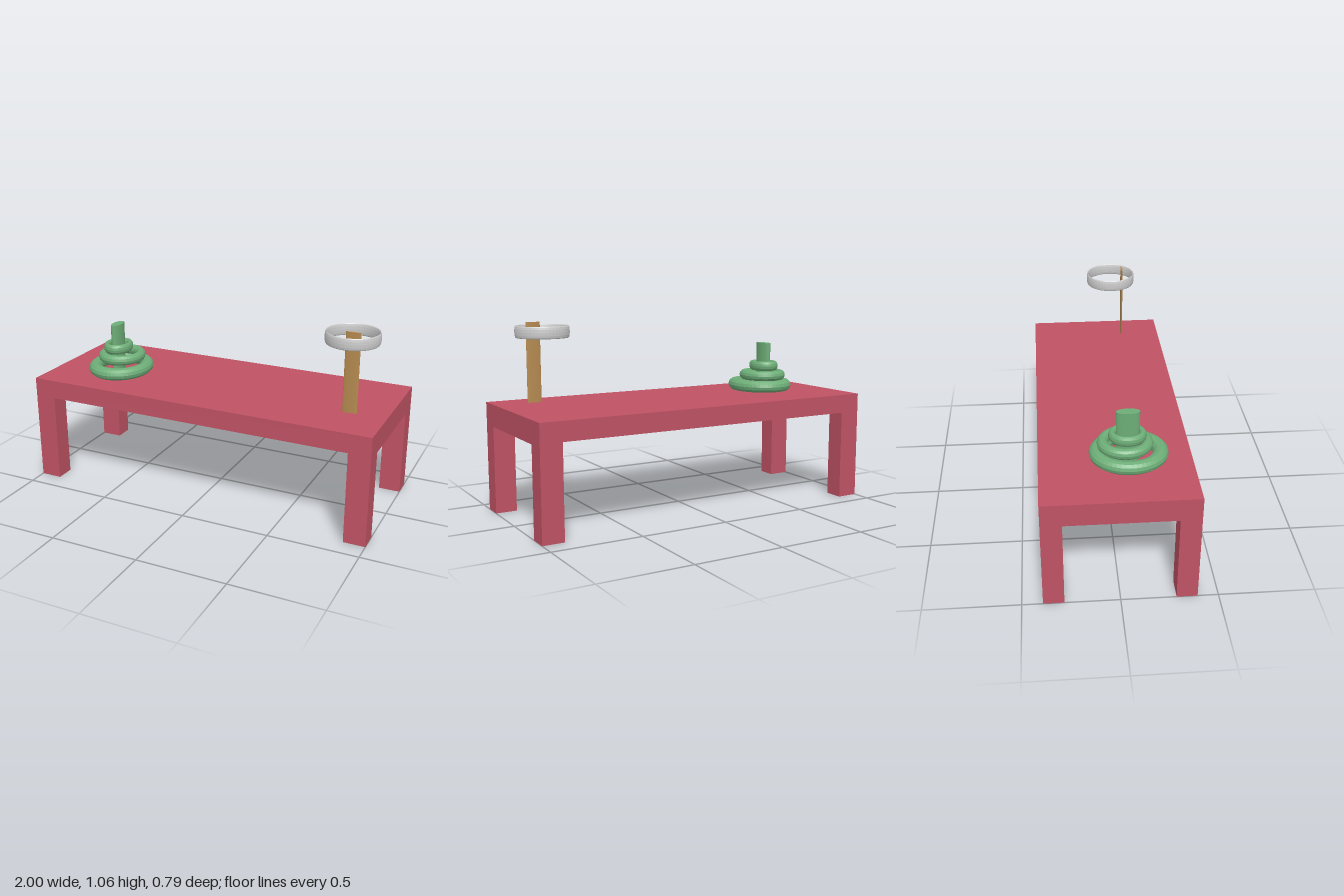
import * as THREE from 'three';

const material = (color, flatShading = false) => new THREE.MeshStandardMaterial({ color, flatShading });

export function createModel() {
  const model = new THREE.Group();
  const red = material(0xbf5264);
  const green = material(0x6dad77, true);
  const wood = material(0xb58a50);
  const grey = material(0xcccccc, true);

  const add = (parent, name, geometry, mat, x, y, z) => {
    const mesh = new THREE.Mesh(geometry, mat);
    mesh.name = name;
    mesh.position.set(x, y, z);
    parent.add(mesh);
    return mesh;
  };

  // Box given by its lower and upper corner
  const box = (parent, name, [x0, y0, z0], [x1, y1, z1]) =>
    add(parent, name, new THREE.BoxGeometry(x1 - x0, y1 - y0, z1 - z0), red,
      (x0 + x1) / 2, (y0 + y1) / 2, (z0 + z1) / 2);

  // Horizontal ring stretched to the given half extents; tube is relative to a radius of 1
  const ring = (parent, name, mat, [x, y, z], [hx, hy, hz], tube) => {
    const geometry = new THREE.TorusGeometry(1, tube, 12, 48).rotateX(Math.PI / 2);
    geometry.scale(hx / (1 + tube), hy / tube, hz / (1 + tube));
    return add(parent, name, geometry, mat, x, y, z);
  };

  // Upright rod with an elliptical section
  const rod = (parent, name, mat, [x, z], [y0, y1], hx, hz) =>
    add(parent, name, new THREE.CylinderGeometry(1, 1, y1 - y0, 32).scale(hx, 1, hz), mat,
      x, (y0 + y1) / 2, z);

  // Table: slab, four legs and a slightly deeper beam at each end
  const table = new THREE.Group();
  table.name = 'table';
  model.add(table);
  const halfZ = 0.393, innerX = 0.88, innerZ = 0.285;
  box(table, 'tableTop', [-1, 0.505, -halfZ], [1, 0.61, halfZ]);
  for (const [side, x0, x1] of [['left', innerX, 1], ['right', -1, -innerX]]) {
    box(table, side + 'EndBeam', [x0, 0.487, -innerZ], [x1, 0.505, innerZ]);
    box(table, side + 'FrontLeg', [x0, 0, innerZ], [x1, 0.505, halfZ]);
    box(table, side + 'BackLeg', [x0, 0, -halfZ], [x1, 0.505, -innerZ]);
  }

  // Stacked rings around an oval post
  const stack = new THREE.Group();
  stack.name = 'ringStack';
  model.add(stack);
  ring(stack, 'bottomRing', green, [-0.618, 0.643, 0.069], [0.182, 0.035, 0.203], 0.25);
  ring(stack, 'middleRing', green, [-0.623, 0.703, 0.049], [0.134, 0.029, 0.143], 0.25);
  ring(stack, 'topRing', green, [-0.639, 0.757, 0.059], [0.08, 0.028, 0.097], 0.25);
  rod(stack, 'stackPost', green, [-0.639, 0.061], [0.615, 0.894], 0.027, 0.06);

  // Flat upright stick carrying a thin hoop
  const hoopStand = new THREE.Group();
  hoopStand.name = 'hoopStand';
  model.add(hoopStand);
  rod(hoopStand, 'stick', wood, [0.807, 0.158], [0.624, 1.057], 0.04, 0.006);
  ring(hoopStand, 'hoop', grey, [0.783, 1.01, 0.086], [0.145, 0.032, 0.146], 0.045);

  return model;
}
